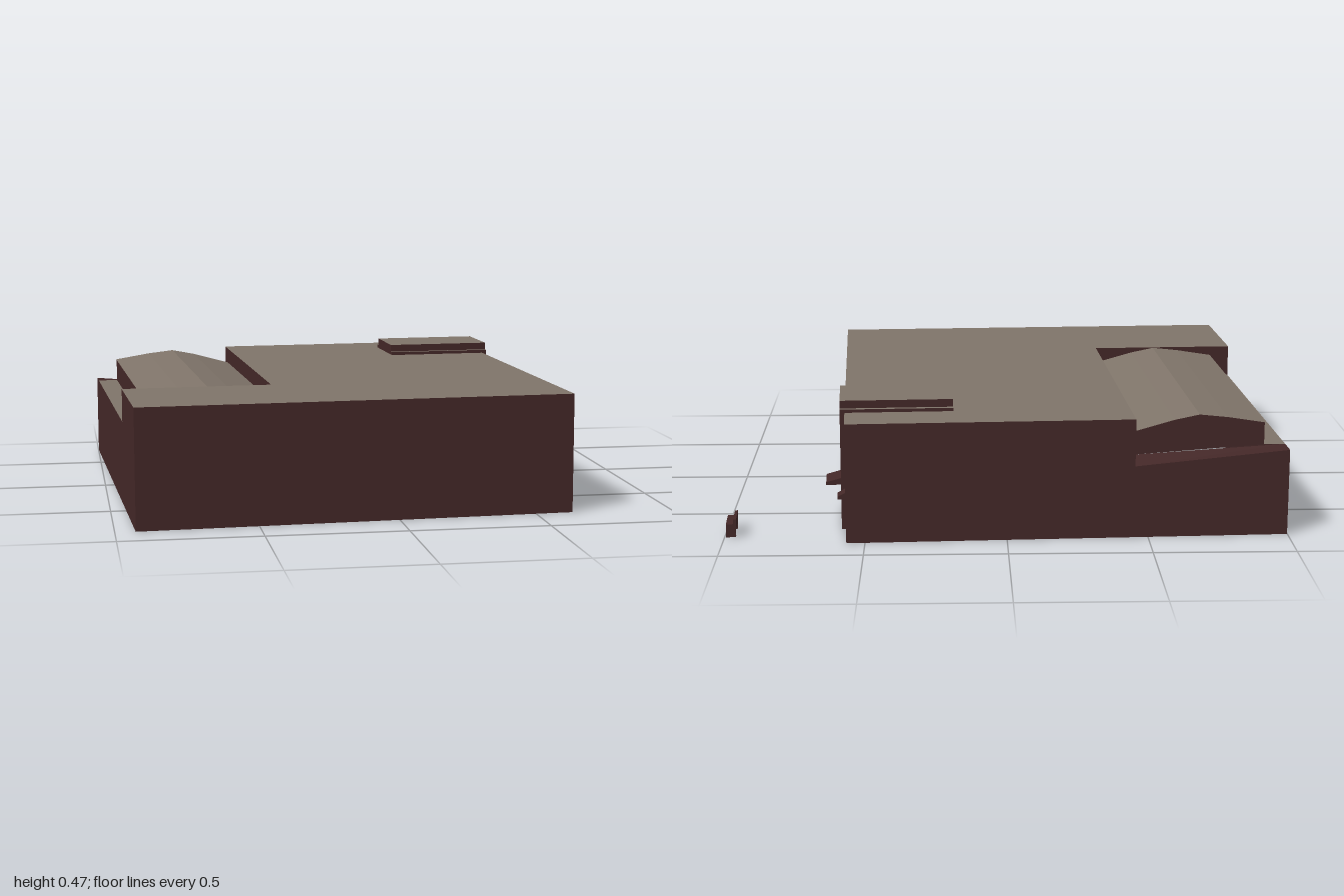
import * as THREE from 'three';

export function createModel() {
  const model = new THREE.Group();
  const building = new THREE.Group();
  building.name = 'building';
  building.position.set(-0.1815, 0, -0.004);
  building.rotation.y = 0.0425;
  model.add(building);

  const mat = (name, color) => {
    const m = new THREE.MeshStandardMaterial({ color, side: THREE.DoubleSide });
    m.name = name;
    return m;
  };
  const roofMat = mat('roof taupe', 0x80756a);
  const wallMat = mat('wall maroon', 0x442828);

  // Flat polygon, fanned from its first corner
  function panel(name, material, pts) {
    const pos = [];
    for (let i = 1; i < pts.length - 1; i++) pos.push(...pts[0], ...pts[i], ...pts[i + 1]);
    const g = new THREE.BufferGeometry();
    g.setAttribute('position', new THREE.Float32BufferAttribute(pos, 3));
    g.computeVertexNormals();
    const m = new THREE.Mesh(g, material);
    m.name = name;
    building.add(m);
  }

  // Box given by its limits, with its own colour on top
  function block(name, [x0, x1], [y0, y1], [z0, z1], top = wallMat) {
    const g = new THREE.BoxGeometry(x1 - x0, y1 - y0, z1 - z0);
    const m = new THREE.Mesh(g, [wallMat, wallMat, top, wallMat, wallMat, wallMat]);
    m.position.set((x0 + x1) / 2, (y0 + y1) / 2, (z0 + z1) / 2);
    m.name = name;
    building.add(m);
  }

  const X = 0.783, Z = 0.829, H = 0.43;        // half width, half depth, height
  const nx = -0.235, nz = 0.374, ledge = 0.31; // notch in the back left corner
  const ex = -0.707, ez = -0.745;              // outer eave and back end of the gable
  const low = 0.26;

  // Main shell, open below
  panel('mainRoof', roofMat, [[nx, H, nz], [-X, H, nz], [-X, H, Z], [X, H, Z], [X, H, -Z], [nx, H, -Z]]);
  panel('frontWall', wallMat, [[-X, 0, Z], [X, 0, Z], [X, H, Z], [-X, H, Z]]);
  panel('rightSideWall', wallMat, [[X, 0, Z], [X, 0, -Z], [X, H, -Z], [X, H, Z]]);
  panel('backWall', wallMat, [[nx, low, -Z], [nx, H, -Z], [X, H, -Z], [X, 0, -Z], [-X, 0, -Z], [-X, ledge, -Z]]);
  panel('leftSideWall', wallMat, [[-X, ledge, nz], [-X, ledge, -Z], [-X, 0, -Z], [-X, 0, Z], [-X, H, Z], [-X, H, nz]]);

  // Notch walls and ledges
  panel('notchSideWall', wallMat, [[nx, low, nz], [nx, low, -Z], [nx, H, -Z], [nx, H, nz]]);
  panel('notchFrontWall', wallMat, [[-X, ledge, nz], [nx, ledge, nz], [nx, H, nz], [-X, H, nz]]);
  panel('sideLedge', roofMat, [[-X, ledge, nz], [ex, ledge, nz], [ex, ledge, ez], [-X, ledge, ez]]);
  panel('backLedge', wallMat, [[-X, ledge, ez], [nx, low + 0.02, ez], [nx, low, -Z], [-X, ledge, -Z]]);

  // Low gabled roof inside the notch
  const profile = [[ex, 0.395], [-0.57, 0.417], [-0.47, 0.428], [-0.38, 0.41], [nx, 0.37]];
  for (let i = 0; i < profile.length - 1; i++) {
    const [xa, ya] = profile[i], [xb, yb] = profile[i + 1];
    panel('gableRoof', roofMat, [[xa, ya, nz], [xb, yb, nz], [xb, yb, ez - 0.02], [xa, ya, ez - 0.02]]);
  }
  panel('gableSideWall', wallMat, [[ex, ledge, ez], [ex, ledge, nz], [ex, 0.395, nz], [ex, 0.395, ez]]);
  panel('gableEndWall', wallMat, [[nx, low + 0.02, ez], [ex, ledge, ez], ...profile.map(([x, y]) => [x, y, ez])]);

  // Entrance tower with a stepped top
  block('towerBase', [0.397, 0.8], [0, 0.442], [-0.662, -0.388], roofMat);
  block('towerTop', [0.397, 0.8], [0.442, 0.47], [-0.645, -0.405], roofMat);

  // Sloping canopies
  for (const [x0, x1, z, half] of [[0.8, 0.855, -0.515, 0.056], [X, 0.812, -0.733, 0.028]]) {
    const s = new THREE.Shape();
    s.moveTo(x0, 0.14);
    s.lineTo(x1, 0.14);
    s.lineTo(x1, 0.15);
    s.lineTo(x0, 0.165);
    const g = new THREE.ExtrudeGeometry(s, { depth: half * 2, bevelEnabled: false });
    g.translate(0, 0, z - half);
    const m = new THREE.Mesh(g, wallMat);
    m.name = 'canopy';
    building.add(m);
  }

  // Detached bench
  block('benchSeat', [1.172, 1.208], [0.03, 0.048], [-0.731, -0.617]);
  block('benchBack', [1.172, 1.182], [0.03, 0.065], [-0.731, -0.617]);
  for (const z of [-0.731, -0.637]) block('benchLeg', [1.174, 1.208], [0, 0.03], [z, z + 0.02]);

  return model;
}
